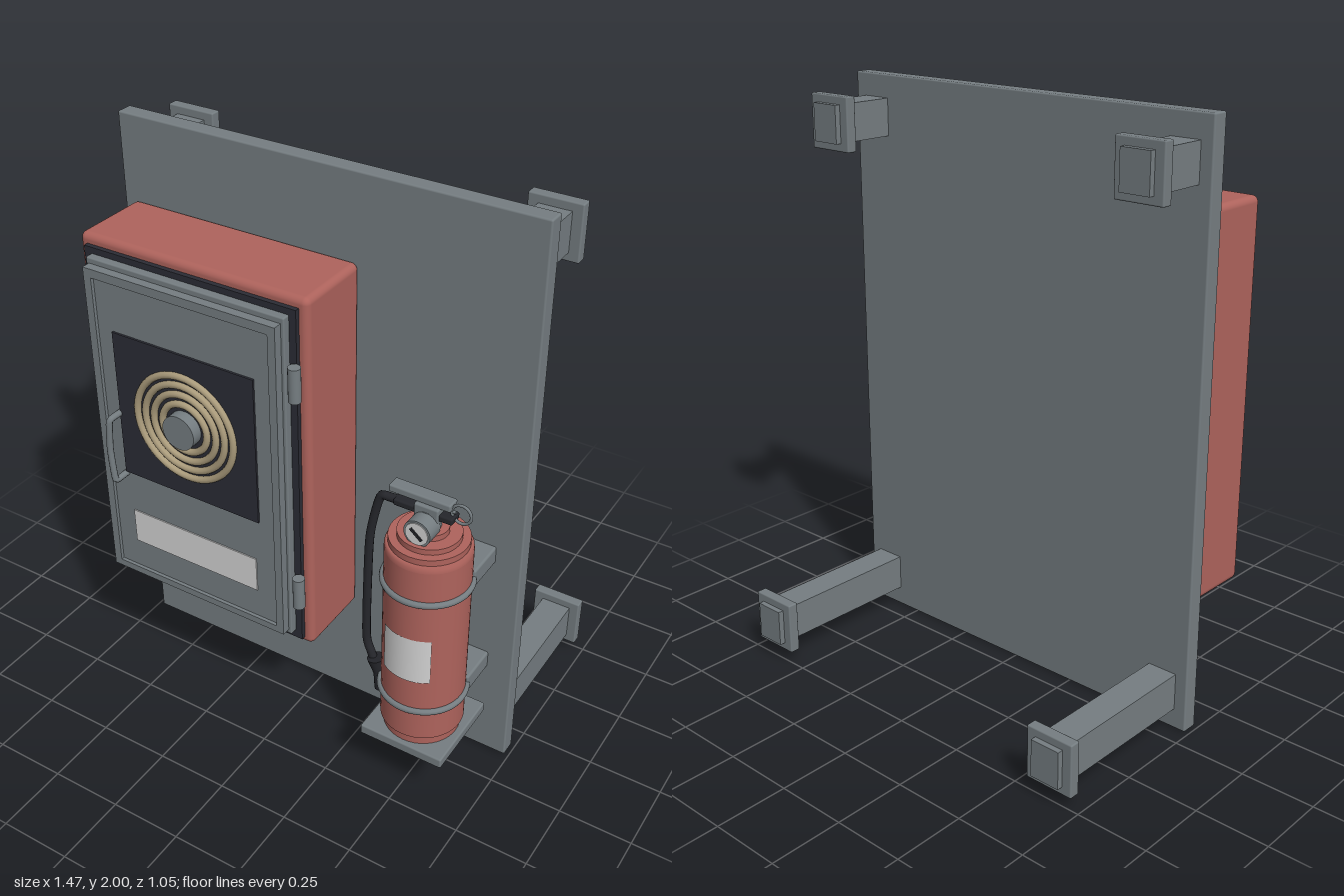
import * as THREE from 'three';
import { RoundedBoxGeometry } from 'three/addons/geometries/RoundedBoxGeometry.js';

const mat = (name, color, side = THREE.FrontSide) => {
  const m = new THREE.MeshStandardMaterial({ color, side });
  m.name = name;
  return m;
};

export function createModel() {
  const root = new THREE.Group();
  const grey = mat('grey metal', 0x757d81);
  const red = mat('red paint', 0xae635c);
  const dark = mat('dark panel', 0x2b2c35);
  const black = mat('black rubber', 0x25262b);
  const tan = mat('tan hose', 0xab9c7c);
  const white = mat('white label', 0xd4d4d4, THREE.DoubleSide);

  const add = (name, geo, m, x = 0, y = 0, z = 0) => {
    const mesh = new THREE.Mesh(geo, m);
    mesh.name = name;
    mesh.position.set(x, y, z);
    root.add(mesh);
    return mesh;
  };
  // Box given by its limits, with optional rounded edges
  const box = (name, m, [x0, x1], [y0, y1], [z0, z1], r = 0) => {
    const s = [x1 - x0, y1 - y0, z1 - z0];
    const geo = r ? new RoundedBoxGeometry(...s, 3, r) : new THREE.BoxGeometry(...s);
    return add(name, geo, m, (x0 + x1) / 2, (y0 + y1) / 2, (z0 + z1) / 2);
  };
  const disc = (name, m, r, x, y, z0, z1) => {
    const geo = new THREE.CylinderGeometry(r, r, z1 - z0, 32).rotateX(Math.PI / 2);
    return add(name, geo, m, x, y, (z0 + z1) / 2);
  };
  const V = (x, y, z) => new THREE.Vector3(x, y, z);

  // Back board and its four mounting arms
  box('backBoard', grey, [-0.735, 0.735], [0, 2], [0.067, 0.125], 0.006);
  for (const s of [-1, 1]) {
    for (const [y, end] of [[1.857, -0.17], [0.135, -0.525]]) {
      const x = s * 0.638;
      const across = (h) => [x - h, x + h];
      const up = (h) => [y - h, y + h];
      box('mountArm', grey, across(0.053), up(0.064), [end + 0.04, 0.07]);
      box('mountFlange', grey, across(0.087), up(0.092), [end + 0.02, end + 0.058], 0.005);
      box('mountEndPad', grey, across(0.053), up(0.064), [end, end + 0.03]);
    }
  }

  // Cabinet with stepped door
  box('cabinet', red, [-0.693, 0.14], [0.423, 1.715], [0.12, 0.4], 0.022);
  box('doorSeal', dark, [-0.662, 0.11], [0.45, 1.683], [0.39, 0.416]);
  box('doorBack', grey, [-0.637, 0.086], [0.48, 1.662], [0.41, 0.442], 0.005);
  box('doorPanel', grey, [-0.61, 0.06], [0.51, 1.63], [0.43, 0.46]);
  const rect = (shape, x0, x1, y0, y1) =>
    shape.moveTo(x0, y0).lineTo(x1, y0).lineTo(x1, y1).lineTo(x0, y1).closePath();
  const frame = new THREE.Shape();
  const hole = new THREE.Path();
  rect(frame, -0.626, 0.075, 0.497, 1.643);
  rect(hole, -0.598, 0.048, 0.522, 1.613);
  frame.holes.push(hole);
  add('doorFrame', new THREE.ExtrudeGeometry(frame, { depth: 0.032, bevelEnabled: false }), grey, 0, 0, 0.44);

  // Hose window with coiled hose and hub, and the door label
  box('hoseWindow', dark, [-0.54, -0.012], [0.915, 1.44], [0.459, 0.467]);
  for (const r of [0.085, 0.119, 0.152, 0.184]) {
    add('hoseCoil', new THREE.TorusGeometry(r, 0.012, 10, 56), tan, -0.276, 1.18, 0.47);
  }
  disc('hoseHub', grey, 0.06, -0.276, 1.18, 0.46, 0.505);
  box('doorLabel', white, [-0.525, -0.03], [0.632, 0.76], [0.459, 0.464]);

  // Door handle and hinges
  const grip = new THREE.CatmullRomCurve3([
    V(-0.542, 1.142, 0.46), V(-0.543, 1.142, 0.51), V(-0.546, 1.125, 0.516), V(-0.553, 1.024, 0.516),
    V(-0.546, 0.92, 0.516), V(-0.543, 0.906, 0.51), V(-0.542, 0.906, 0.46),
  ], false, 'catmullrom', 0.3);
  add('doorHandle', new THREE.TubeGeometry(grip, 48, 0.011, 10), grey);
  for (const y of [1.452, 0.67]) {
    add('hinge', new THREE.CylinderGeometry(0.02, 0.02, 0.115, 20), grey, 0.115, y, 0.437);
  }

  // Extinguisher shelf, brackets and straps
  const X = 0.516, Z = 0.325;
  box('shelf', grey, [0.367, 0.665], [0.205, 0.242], [0.163, 0.468], 0.006);
  for (const y of [0.836, 0.397]) {
    box('bracket', grey, [0.381, 0.647], [y - 0.032, y + 0.032], [0.12, 0.265], 0.008);
    add('strap', new THREE.TorusGeometry(0.139, 0.011, 10, 48).rotateX(Math.PI / 2), grey, X, y, Z);
  }

  // Extinguisher bottle: each step is its own short lathe so the rims stay sharp
  const lathe = (name, m, pts) =>
    add(name, new THREE.LatheGeometry(pts.map((p) => new THREE.Vector2(...p)), 40), m, X, 0, Z);
  const drum = (name, m, r, y0, y1) =>
    add(name, new THREE.CylinderGeometry(r, r, y1 - y0, 40), m, X, (y0 + y1) / 2, Z);
  drum('bottleFoot', red, 0.126, 0.24, 0.285);
  drum('bottleBody', red, 0.137, 0.278, 0.955);
  lathe('bottleShoulder', red, [[0.137, 0.955], [0.136, 0.968], [0.13, 0.977], [0, 0.978]]);
  drum('bottleCap', red, 0.126, 0.97, 0.998);
  drum('bottleCollar', red, 0.1, 0.99, 1.017);
  drum('bottleNeck', red, 0.06, 1.01, 1.037);
  drum('valveStem', grey, 0.035, 1.03, 1.1);
  const a = 0.63;
  add('bottleLabel', new THREE.CylinderGeometry(0.14, 0.14, 0.172, 20, 1, true, -a, 2 * a), white, X, 0.606, Z);

  // Valve, levers, safety ring and gauge
  box('valveBlock', grey, [0.475, 0.557], [1.06, 1.12], [0.292, 0.358], 0.006);
  box('lowerLever', black, [0.4, 0.6], [1.077, 1.1], [0.3, 0.35], 0.006);
  box('upperLever', grey, [0.381, 0.59], [1.117, 1.143], [0.298, 0.345], 0.006);
  add('safetyRing', new THREE.TorusGeometry(0.032, 0.005, 8, 32), grey, 0.618, 1.112, Z);
  add('safetyPin', new THREE.CylinderGeometry(0.005, 0.005, 0.08, 10).rotateZ(Math.PI / 2), grey, 0.56, 1.112, Z);
  disc('gaugeBody', grey, 0.045, X, 1.054, 0.345, 0.408);
  disc('gaugeFace', white, 0.038, X, 1.054, 0.405, 0.411);
  const needle = add('gaugeNeedle', new THREE.BoxGeometry(0.05, 0.009, 0.004), black, X, 1.054, 0.413);
  needle.rotation.z = -0.7;

  // Discharge hose and nozzle
  const hose = new THREE.CatmullRomCurve3([
    V(0.48, 1.085, 0.325), V(0.38, 1.086, 0.33), V(0.347, 1.075, 0.332), V(0.318, 0.93, 0.338),
    V(0.313, 0.75, 0.342), V(0.314, 0.52, 0.346), V(0.335, 0.455, 0.35), V(0.357, 0.41, 0.355),
  ], false, 'catmullrom', 0.4);
  add('dischargeHose', new THREE.TubeGeometry(hose, 64, 0.014, 10), black);
  const nozzle = add('nozzle', new THREE.CylinderGeometry(0.03, 0.018, 0.06, 20), black, 0.362, 0.415, 0.355);
  nozzle.rotation.z = 0.2;
  const tip = add('nozzleTip', new THREE.CylinderGeometry(0.018, 0.025, 0.07, 20), black, 0.374, 0.363, 0.355);
  tip.rotation.z = 0.2;

  return root;
}
